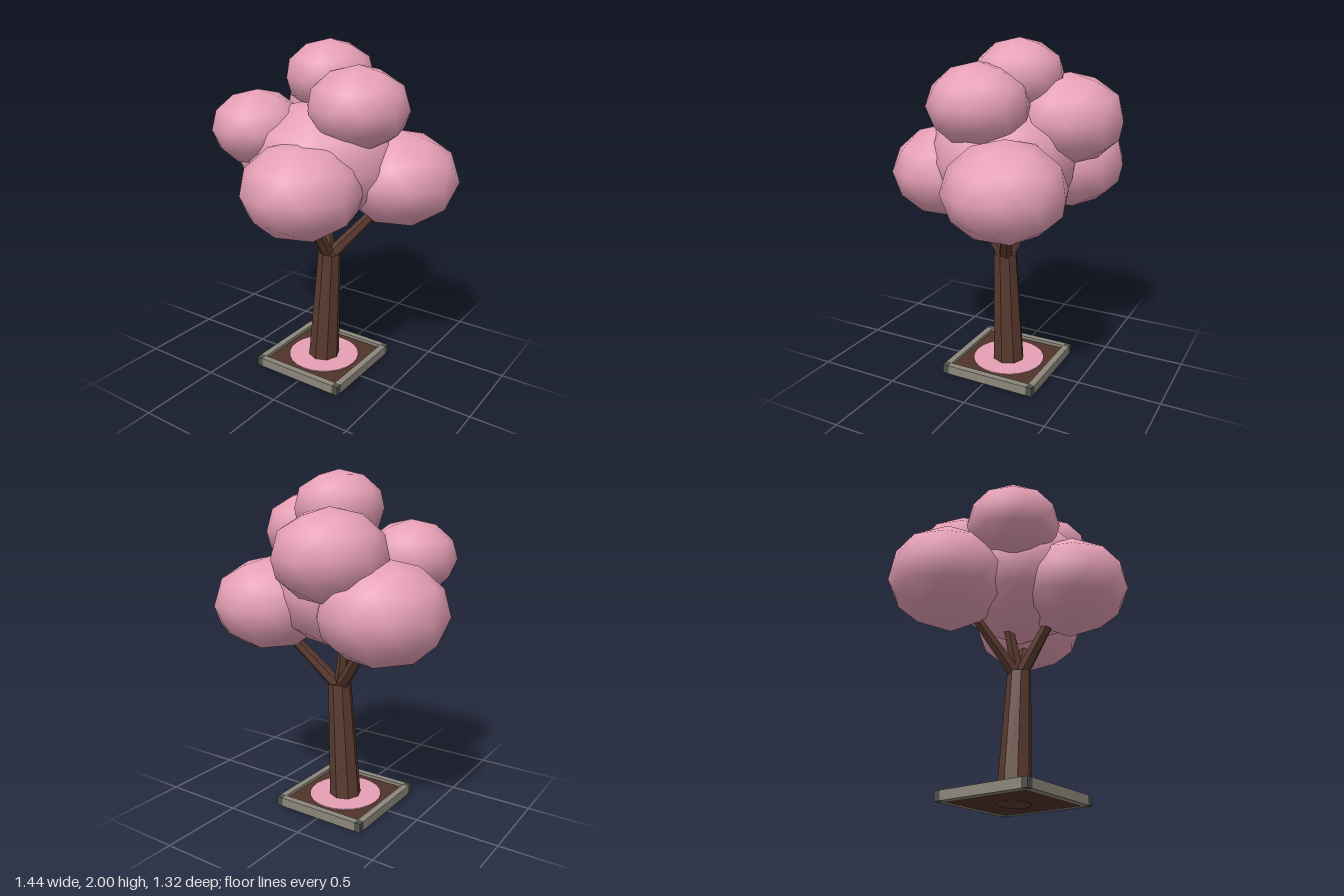
import * as THREE from 'three';

const mat = (name, color) => {
  const m = new THREE.MeshStandardMaterial({ color });
  m.name = name;
  return m;
};

export function createModel() {
  const tree = new THREE.Group();
  tree.name = 'blossomTree';
  const blossom = mat('blossom pink', 0xe6a0b6);
  const bark = mat('bark brown', 0x5a3a2f);
  const soil = mat('soil brown', 0x50332a);
  const stone = mat('curb stone', 0x8c877b);
  const corner = mat('curb corner', 0x4e5049);

  const add = (name, geometry, material, x, y, z, parent = tree) => {
    const mesh = new THREE.Mesh(geometry, material);
    mesh.name = name;
    mesh.position.set(x, y, z);
    parent.add(mesh);
    return mesh;
  };

  // Tapered, faceted limb between two points
  const limb = (name, from, to, r0, r1, sides) => {
    const a = new THREE.Vector3(...from), b = new THREE.Vector3(...to);
    const dir = b.clone().sub(a);
    const g = new THREE.CylinderGeometry(r1, r0, dir.length(), sides).toNonIndexed();
    g.computeVertexNormals();
    const mid = a.clone().add(b).multiplyScalar(0.5);
    const mesh = add(name, g, bark, mid.x, mid.y, mid.z);
    mesh.quaternion.setFromUnitVectors(new THREE.Vector3(0, 1, 0), dir.normalize());
  };

  // Square planter: soil bed, curb rails, corner posts and fallen petals
  const planter = new THREE.Group();
  planter.name = 'planter';
  planter.position.set(-0.01, 0, -0.027);
  tree.add(planter);
  add('soilBed', new THREE.BoxGeometry(0.53, 0.035, 0.53), soil, 0, 0.0285, 0, planter);
  for (let i = 0; i < 4; i++) {
    const side = new THREE.Group();
    side.name = 'curbSide';
    side.rotation.y = i * Math.PI / 2;
    planter.add(side);
    add('curbRail', new THREE.BoxGeometry(0.52, 0.055, 0.04), stone, 0, 0.0375, 0.28, side);
    add('curbCorner', new THREE.BoxGeometry(0.04, 0.055, 0.04), corner, 0.28, 0.0375, 0.28, side);
  }
  add('fallenPetals', new THREE.CylinderGeometry(0.22, 0.22, 0.006, 24), blossom, 0, 0.049, 0, planter);

  // Leaning trunk and its branches
  limb('trunk', [-0.012, 0.005, -0.028], [0.032, 0.76, -0.025], 0.098, 0.07, 8);
  const fork = [0.03, 0.73, -0.025];
  for (const end of [[0.31, 1.08, -0.18], [-0.23, 1.06, -0.15], [0.04, 1.07, 0.21], [-0.04, 1.08, -0.06]]) {
    limb('branch', fork, end, 0.042, 0.03, 6);
  }

  // Blossom clumps: flattened icospheres with one vertex pointing up
  const ball = new THREE.IcosahedronGeometry(1, 1);
  ball.rotateZ(-Math.atan2(2, 1 + Math.sqrt(5)));
  const clumps = [ // x, y, z, radius
    [0.01, 1.34, 0, 0.44],
    [0.08, 1.24, 0.315, 0.34],
    [-0.38, 1.27, -0.23, 0.36],
    [0.39, 1.24, -0.205, 0.34],
    [-0.127, 1.56, -0.342, 0.318],
    [-0.012, 1.795, -0.09, 0.256],
    [0.247, 1.655, 0.024, 0.285],
    [-0.315, 1.515, 0.185, 0.267],
  ];
  for (const [x, y, z, r] of clumps) {
    add('blossomClump', ball, blossom, x, y, z).scale.set(r, r * 0.805, r);
  }
  return tree;
}
